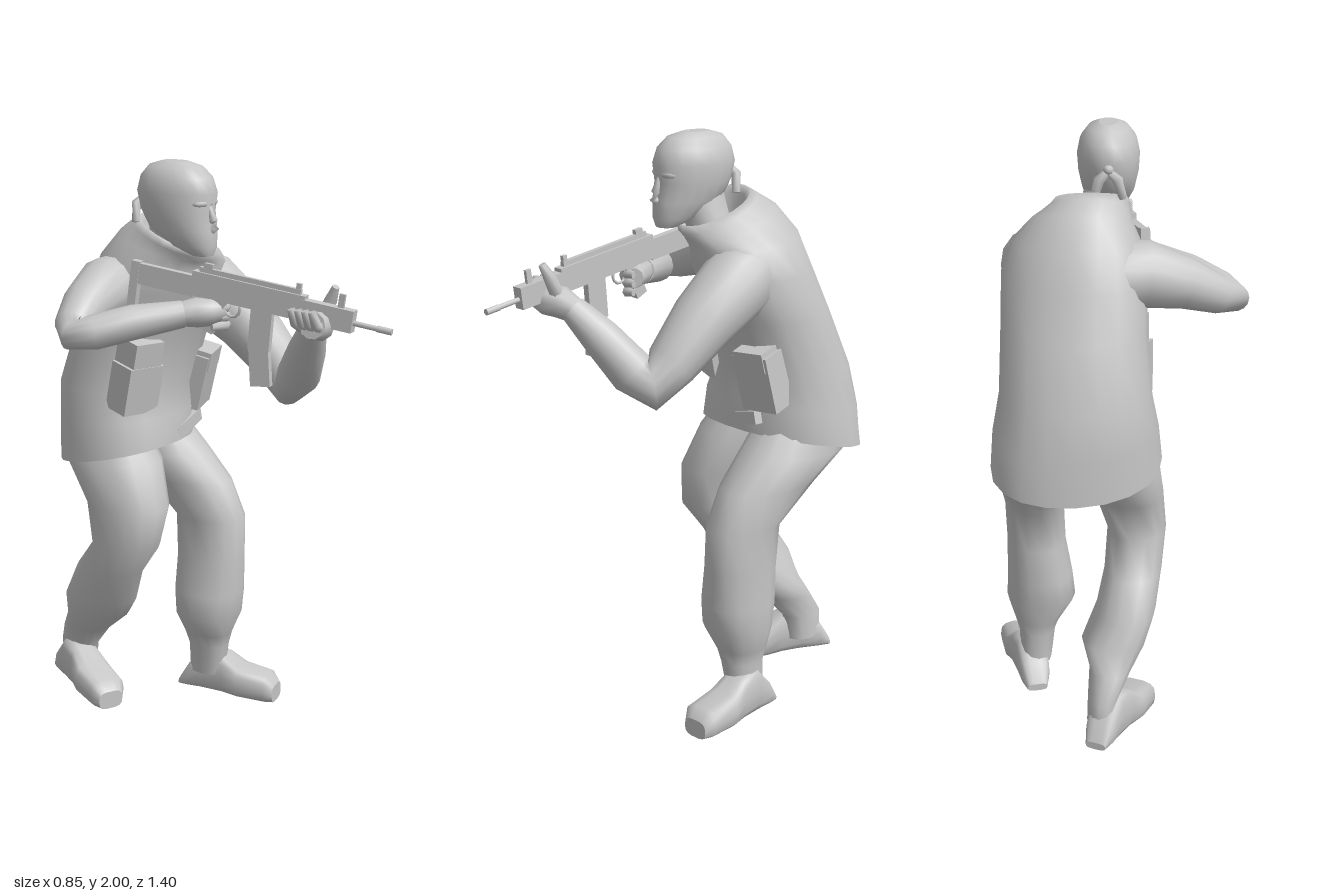
import * as THREE from 'three';

const V = (x, y, z) => new THREE.Vector3(x, y, z);
const grey = new THREE.MeshStandardMaterial({ color: 0xc6c6c6 });
grey.name = 'plainGrey';

function add(parent, name, geometry, x = 0, y = 0, z = 0, rx = 0, ry = 0, rz = 0) {
  const mesh = new THREE.Mesh(geometry, grey);
  mesh.name = name;
  mesh.position.set(x, y, z);
  mesh.rotation.set(rx, ry, rz);
  parent.add(mesh);
  return mesh;
}

// Skin a list of rings {c, u, v}; u x v points along the loft. Both ends are capped.
function loft(rings, sides = 14, square = 1) {
  const pos = [], idx = [];
  const shape = a => Math.sign(a) * Math.abs(a) ** square;
  const putRing = r => {
    for (let j = 0; j < sides; j++) {
      const a = j / sides * Math.PI * 2;
      const p = r.c.clone().addScaledVector(r.u, shape(Math.cos(a))).addScaledVector(r.v, shape(Math.sin(a)));
      pos.push(p.x, p.y, p.z);
    }
  };
  rings.forEach(putRing);
  for (let i = 0; i < rings.length - 1; i++) {
    for (let j = 0; j < sides; j++) {
      const a = i * sides + j, b = i * sides + (j + 1) % sides;
      idx.push(a, b, a + sides, b, b + sides, a + sides);
    }
  }
  [rings[0], rings[rings.length - 1]].forEach((r, end) => {
    const start = pos.length / 3;
    putRing(r);
    pos.push(r.c.x, r.c.y, r.c.z);
    for (let j = 0; j < sides; j++) {
      const a = start + j, b = start + (j + 1) % sides;
      idx.push(...(end ? [a, b, start + sides] : [b, a, start + sides]));
    }
  });
  const g = new THREE.BufferGeometry();
  g.setAttribute('position', new THREE.Float32BufferAttribute(pos, 3));
  g.setIndex(idx);
  g.computeVertexNormals();
  return g;
}

// Level rings, bottom to top: [y, cx, rx, cz, rz, rise towards the back, forward shift of the left side]
const column = (rows, sides, square) => loft(rows.map(([y, cx, rx, cz, rz, rise = 0, twist = 0]) =>
  ({ c: V(cx, y, cz), u: V(rx, 0, twist), v: V(0, rz * rise, -rz) })), sides, square);

// Round limb along points: [x, y, z, radius]
function limb(points, sides = 12) {
  const c = points.map(p => V(p[0], p[1], p[2]));
  return loft(c.map((p, i) => {
    const w = c[Math.min(i + 1, c.length - 1)].clone().sub(c[Math.max(i - 1, 0)]).normalize();
    const u = V(0, 1, 0).cross(w).normalize();
    const v = w.clone().cross(u);
    const r = points[i][3];
    return { c: p, u: u.multiplyScalar(r), v: v.multiplyScalar(r) };
  }), sides);
}

// Boot from heel to toe, stations: [along, half width, height]
function boot(heel, toe) {
  const dir = toe.clone().sub(heel);
  const w = dir.clone().setY(0).normalize();
  const u = V(0, 1, 0).cross(w);
  const stations = [[0, 0.035, 0.025], [0.1, 0.05, 0.09], [0.28, 0.058, 0.17], [0.48, 0.062, 0.155],
    [0.64, 0.075, 0.115], [0.92, 0.07, 0.1], [1, 0.048, 0.065]];
  return loft(stations.map(([t, width, h]) => ({
    c: heel.clone().addScaledVector(dir, t).add(V(0, h / 2, 0)),
    u: u.clone().multiplyScalar(width), v: V(0, h / 2, 0),
  })), 14, 0.65);
}

function buildHead(root) {
  const head = new THREE.Group();
  head.name = 'head';
  root.add(head);
  add(head, 'skull', column([
    [1.695, 0.025, 0.035, -0.005, 0.035], [1.725, 0.025, 0.062, -0.04, 0.08], [1.78, 0.025, 0.084, -0.085, 0.124],
    [1.84, 0.025, 0.096, -0.107, 0.135], [1.9, 0.025, 0.1, -0.11, 0.147], [1.95, 0.025, 0.09, -0.112, 0.132],
    [1.985, 0.025, 0.064, -0.115, 0.1], [2, 0.025, 0.03, -0.115, 0.05]], 18, 0.95));
  add(head, 'neck', column([[1.58, 0.07, 0.09, -0.21, 0.09], [1.7, 0.05, 0.075, -0.15, 0.08], [1.8, 0.03, 0.07, -0.13, 0.085]]));
  add(head, 'nose', limb([[0.025, 1.86, 0.022, 0.008], [0.025, 1.81, 0.036, 0.016], [0.025, 1.79, 0.041, 0.017], [0.025, 1.775, 0.025, 0.012]], 8));
  add(head, 'brow', new THREE.SphereGeometry(1, 12, 8), 0.025, 1.87, 0).scale.set(0.065, 0.02, 0.032);
  // Knotted scarf at the back of the head
  for (const s of [-1, 1]) {
    add(head, 'scarfTail', limb([[0.025, 1.875, -0.245, 0.012], [0.025 + s * 0.03, 1.85, -0.258, 0.018],
      [0.025 + s * 0.045, 1.79, -0.25, 0.014]], 6));
  }
  add(head, 'scarfKnot', new THREE.SphereGeometry(0.018, 8, 6), 0.025, 1.88, -0.248);
}

function buildClothes(root) {
  // Jacket with a standing collar folded in around the neck
  add(root, 'jacket', column([
    [0.958, 0.128, 0.275, -0.412, 0.235, -0.21, -0.035], [1.08, 0.13, 0.265, -0.41, 0.232, -0.13, -0.02],
    [1.2, 0.13, 0.243, -0.41, 0.218, 0, 0.01], [1.4, 0.135, 0.233, -0.345, 0.203, 0, 0.03],
    [1.55, 0.135, 0.232, -0.275, 0.208, 0, 0.04], [1.65, 0.125, 0.206, -0.243, 0.19, 0.1, 0.03],
    [1.71, 0.108, 0.158, -0.2, 0.16, 0.32, 0.02], [1.74, 0.085, 0.128, -0.165, 0.135, 0.45, 0.01],
    [1.76, 0.078, 0.118, -0.152, 0.122, 0.45], [1.74, 0.075, 0.104, -0.152, 0.108, 0.45], [1.68, 0.07, 0.07, -0.16, 0.08, 0.3]], 20, 0.93));
  add(root, 'hemFlap', new THREE.BoxGeometry(0.16, 0.045, 0.03), 0.2, 1.05, -0.2, 0, 0.1, 0.25);
  // Belt pouches
  add(root, 'pouch', new THREE.BoxGeometry(0.15, 0.17, 0.1), -0.035, 1.225, -0.25, 0.2, -0.2, 0);
  add(root, 'pouchFlap', new THREE.BoxGeometry(0.125, 0.1, 0.1), -0.035, 1.345, -0.228, 0.2, -0.2, 0);
  add(root, 'pouch', new THREE.BoxGeometry(0.14, 0.2, 0.1), 0.285, 1.205, -0.22, 0.25, 0.3, 0);
  add(root, 'pouchFlap', new THREE.BoxGeometry(0.12, 0.07, 0.105), 0.285, 1.285, -0.198, 0.25, 0.3, 0);
  // Trousers gathered above the ankles
  add(root, 'leftLeg', column([
    [0.09, 0.285, 0.055, -0.165, 0.066], [0.2, 0.278, 0.062, -0.155, 0.075], [0.25, 0.275, 0.078, -0.155, 0.088],
    [0.33, 0.262, 0.118, -0.145, 0.115], [0.42, 0.265, 0.112, -0.145, 0.128], [0.55, 0.275, 0.1, -0.145, 0.128],
    [0.7, 0.28, 0.1, -0.15, 0.132], [0.83, 0.275, 0.115, -0.25, 0.175], [0.93, 0.263, 0.13, -0.36, 0.195],
    [1.08, 0.24, 0.1, -0.42, 0.13]], 14, 0.9));
  add(root, 'rightLeg', column([
    [0.1, 0.05, 0.048, -0.585, 0.066], [0.19, 0.045, 0.05, -0.58, 0.075], [0.27, 0.02, 0.07, -0.525, 0.09],
    [0.34, 0.008, 0.108, -0.46, 0.11], [0.43, -0.03, 0.1, -0.415, 0.14], [0.55, -0.055, 0.095, -0.355, 0.128],
    [0.66, -0.068, 0.098, -0.27, 0.125], [0.8, -0.04, 0.115, -0.28, 0.155], [0.95, -0.004, 0.133, -0.37, 0.185],
    [1.08, 0.02, 0.1, -0.41, 0.13]], 14, 0.9));
  add(root, 'leftBoot', boot(V(0.275, 0.015, -0.278), V(0.36, 0, 0.09)));
  add(root, 'rightBoot', boot(V(0.07, 0.05, -0.69), V(-0.08, 0.015, -0.34)));
}

function buildArms(root) {
  // Left arm drops to the elbow, then rises to the fore-end
  add(root, 'leftArm', limb([
    [0.22, 1.6, -0.27, 0.1], [0.25, 1.54, -0.14, 0.124], [0.268, 1.43, 0.01, 0.107], [0.275, 1.305, 0.135, 0.085],
    [0.264, 1.235, 0.2, 0.075], [0.228, 1.285, 0.25, 0.075], [0.16, 1.395, 0.325, 0.064], [0.09, 1.485, 0.39, 0.045]], 14));
  add(root, 'leftHand', limb([
    [0.1, 1.475, 0.38, 0.04], [0.07, 1.505, 0.42, 0.052], [0.03, 1.51, 0.45, 0.05], [-0.02, 1.52, 0.455, 0.045]], 10));
  add(root, 'leftThumb', limb([[0.075, 1.52, 0.43, 0.026], [0.08, 1.585, 0.46, 0.022], [0.07, 1.635, 0.485, 0.012]], 8));
  for (let i = 0; i < 4; i++) {
    const z = 0.4 + i * 0.026;
    add(root, 'leftFinger', limb([[0.01, 1.5, z, 0.018], [-0.035, 1.525, z, 0.018], [-0.045, 1.57, z - 0.01, 0.014]], 6));
  }
  // Right arm lifts sideways and folds back to the grip
  add(root, 'rightArm', limb([
    [0.03, 1.56, -0.33, 0.115], [-0.1, 1.565, -0.325, 0.107], [-0.22, 1.53, -0.31, 0.082], [-0.33, 1.48, -0.28, 0.06],
    [-0.38, 1.46, -0.25, 0.044], [-0.33, 1.472, -0.19, 0.058], [-0.23, 1.5, -0.1, 0.058], [-0.11, 1.52, 0.01, 0.045]], 14));
  add(root, 'rightHand', limb([
    [-0.12, 1.52, 0, 0.04], [-0.08, 1.525, 0.045, 0.05], [-0.05, 1.525, 0.08, 0.046], [-0.015, 1.525, 0.1, 0.035]], 10));
  for (let i = 0; i < 3; i++) {
    add(root, 'rightFinger', limb([[-0.06, 1.54 - i * 0.03, 0.09, 0.017], [-0.02, 1.54 - i * 0.03, 0.12, 0.017],
      [0.005, 1.54 - i * 0.03, 0.11, 0.012]], 6));
  }
}

function buildRifle(root) {
  const gun = new THREE.Group();
  gun.name = 'rifle';
  gun.position.set(0.005, 1.565, 0.3);
  gun.lookAt(0.08, 1.51, 0.69);
  root.add(gun);
  const box = (name, w, h, d, x, y, z, rx = 0) => add(gun, name, new THREE.BoxGeometry(w, h, d), x, y, z, rx);
  const rod = (name, r, len, y, z) => add(gun, name, new THREE.CylinderGeometry(r, r, len, 8), 0, y, z, Math.PI / 2);
  rod('barrel', 0.009, 0.24, 0, 0.28);
  rod('muzzle', 0.011, 0.05, 0, 0.375);
  rod('gasTube', 0.009, 0.14, 0.03, 0.2);
  box('handguard', 0.038, 0.072, 0.18, 0, 0.005, 0.18);
  box('receiver', 0.034, 0.082, 0.4, 0, 0.012, -0.1);
  box('topRail', 0.016, 0.018, 0.36, 0, 0.06, -0.1);
  box('frontSight', 0.012, 0.05, 0.02, 0, 0.06, 0.22);
  box('rearSight', 0.016, 0.025, 0.03, 0, 0.072, -0.25);
  box('midSight', 0.014, 0.035, 0.016, 0, 0.07, 0.07);
  box('magazine', 0.024, 0.14, 0.075, 0, -0.09, -0.04, -0.05);
  box('magazineTip', 0.024, 0.14, 0.07, 0, -0.21, -0.025, -0.2);
  box('grip', 0.03, 0.12, 0.045, 0, -0.08, -0.21, 0.3);
  add(gun, 'triggerGuard', new THREE.TorusGeometry(0.028, 0.005, 6, 12), 0, -0.045, -0.15, 0, Math.PI / 2, 0);
  box('stock', 0.026, 0.07, 0.22, 0, 0, -0.4);
  box('buttPlate', 0.03, 0.16, 0.03, 0, -0.04, -0.51);
}

export function createModel() {
  const root = new THREE.Group();
  root.name = 'crouchingRifleman';
  buildHead(root);
  buildClothes(root);
  buildArms(root);
  buildRifle(root);
  return root;
}
